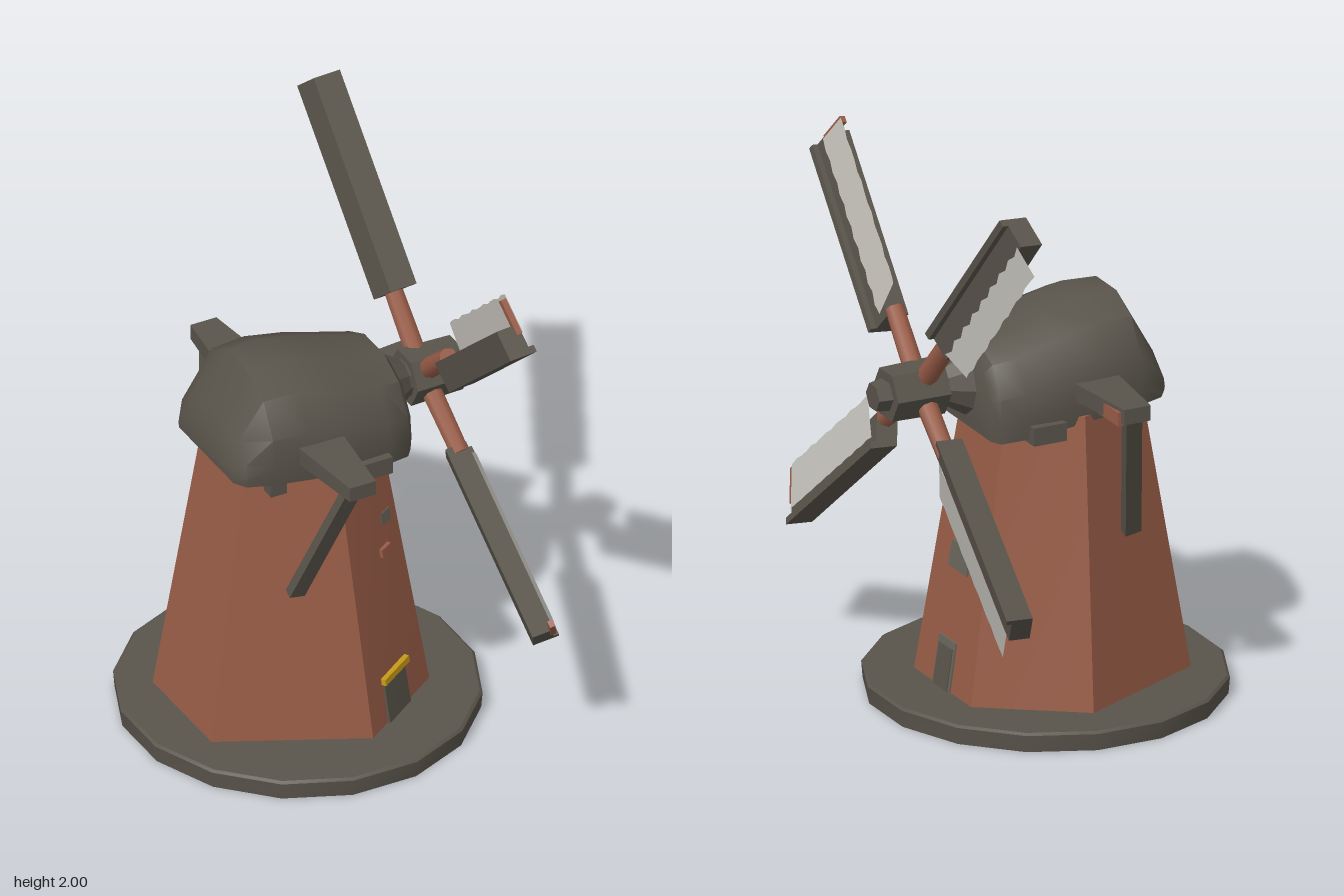
import * as THREE from 'three';
import { toCreasedNormals } from 'three/addons/utils/BufferGeometryUtils.js';

const mat = (name, color, extra = {}) => Object.assign(new THREE.MeshStandardMaterial({ color, ...extra }), { name });

// Skin a list of closed rings (each an array of [x, y, z]) and cap both ends
function loft(rings, crease = 0.5) {
  const n = rings[0].length, idx = [];
  for (let i = 0; i < rings.length - 1; i++) {
    for (let j = 0; j < n; j++) {
      const a = i * n + j, b = i * n + (j + 1) % n;
      idx.push(a, b, b + n, a, b + n, a + n);
    }
  }
  const last = (rings.length - 1) * n;
  for (let j = 1; j < n - 1; j++) idx.push(0, j + 1, j, last, last + j, last + j + 1);
  const g = new THREE.BufferGeometry();
  g.setAttribute('position', new THREE.Float32BufferAttribute(rings.flat(2), 3));
  g.setIndex(idx);
  return toCreasedNormals(g, crease);
}

export function createModel() {
  const brick = mat('brick red', 0x985c47);
  const wood = mat('dark timber', 0x59544b);
  const cloth = mat('sail cloth', 0xc6c3bc, { side: THREE.DoubleSide });
  const yellow = mat('yellow lintel', 0xc79a17);
  const pane = mat('grey opening', 0x67645a);

  const model = new THREE.Group();
  model.name = 'windmill';
  const add = (parent, name, geometry, material, x = 0, y = 0, z = 0) => {
    const m = new THREE.Mesh(geometry, material);
    m.name = name;
    m.position.set(x, y, z);
    parent.add(m);
    return m;
  };

  // Round stone footing
  add(model, 'footing', loft([[0, 0.62], [0.06, 0.625], [0.068, 0.615]].map(([y, r]) =>
    Array.from({ length: 16 }, (_, i) => {
      const a = (i + 0.5) / 16 * Math.PI * 2;
      return [-0.025 + Math.cos(a) * r, y, 0.012 - Math.sin(a) * r * 1.02];
    }))), wood);

  // Six-sided tapering tower; corners run anticlockwise from above
  const low = [[0.375, 0.21], [0.375, -0.21], [0.03, -0.45], [-0.465, -0.21], [-0.465, 0.21], [0.03, 0.45]];
  const high = [[0.215, 0.155], [0.215, -0.155], [-0.02, -0.29], [-0.305, -0.155], [-0.305, 0.155], [-0.02, 0.29]];
  const corner = (i, y) => {
    const k = (y - 0.06) / 1.02, a = low[i % 6], b = high[i % 6];
    return new THREE.Vector3(a[0] + (b[0] - a[0]) * k, y, a[1] + (b[1] - a[1]) * k);
  };
  add(model, 'tower', loft([0.06, 1.08].map(y => low.map((_, i) => corner(i, y).toArray())), 0.2), brick);

  // Box laid on a tower face: u runs 0..1 between its corners
  const onFace = (name, face, u0, u1, y0, y1, depth, material) => {
    const g = new THREE.BoxGeometry(u1 - u0, y1 - y0, depth).toNonIndexed();
    g.translate((u0 + u1) / 2, (y0 + y1) / 2, depth / 2 - 0.002);
    const p = g.attributes.position;
    for (let i = 0; i < p.count; i++) {
      const a = corner(face, p.getY(i)), b = corner(face + 1, p.getY(i));
      const out = new THREE.Vector3(a.z - b.z, 0, b.x - a.x).normalize();
      const q = a.lerp(b, p.getX(i)).addScaledVector(out, p.getZ(i));
      p.setXYZ(i, q.x, q.y, q.z);
    }
    g.computeVertexNormals();
    add(model, name, g, material);
  };
  onFace('sideDoor', 0, 0.34, 0.64, 0.065, 0.24, 0.008, pane);
  onFace('sideDoorPanel', 0, 0.37, 0.61, 0.065, 0.215, 0.012, wood);
  onFace('sideWindow', 0, 0.31, 0.67, 0.48, 0.57, 0.009, pane);
  onFace('frontDoor', 5, 0.26, 0.63, 0.065, 0.22, 0.012, wood);
  onFace('frontLintel', 5, 0.24, 0.68, 0.217, 0.24, 0.022, yellow);
  onFace('frontWindow', 5, 0.68, 0.86, 0.755, 0.8, 0.009, pane);
  onFace('brokenBrick', 5, 0.54, 0.72, 0.655, 0.685, 0.02, brick);

  // Cap: arched sections [x, half width, bottom, top] along the shaft
  const arch = [[-0.97, 0], [-1, 0.2], [-0.96, 0.5], [-0.7, 0.84], [-0.28, 1]];
  const capPoints = [...arch, ...arch.map(([z, y]) => [-z, y]).reverse()];
  add(model, 'cap', loft([
    [-0.37, 0.2, 1.08, 1.17], [-0.34, 0.24, 1.075, 1.25], [-0.25, 0.265, 1.07, 1.425], [-0.12, 0.28, 1.06, 1.43],
    [0.03, 0.285, 1.045, 1.395], [0.19, 0.275, 1.025, 1.345], [0.275, 0.25, 1.015, 1.33], [0.3, 0.22, 1.02, 1.29],
  ].map(([x, w, b, t]) => capPoints.map(([z, y]) => [x, b + y * (t - b), z * w])), 0.7), wood);

  // Small bearers under the eaves, cross beam and its braces
  for (const s of [1, -1]) {
    add(model, 'bearer', new THREE.BoxGeometry(0.125, 0.065, 0.1), wood, 0.12, 1.045, s * 0.255);
    add(model, 'smallBearer', new THREE.BoxGeometry(0.06, 0.07, 0.08), wood, -0.22, 1.045, s * 0.2);
    const from = new THREE.Vector3(-0.08, 1.17, s * 0.52), to = new THREE.Vector3(-0.19, 0.64, s * 0.3);
    const brace = add(model, 'brace', new THREE.BoxGeometry(0.06, from.distanceTo(to), 0.035), wood);
    brace.position.lerpVectors(from, to, 0.5);
    brace.quaternion.setFromUnitVectors(new THREE.Vector3(0, 1, 0), from.clone().sub(to).normalize());
  }
  add(model, 'crossBeam', loft([[-0.57, -0.125, -0.025, 1.145], [-0.26, -0.16, 0.012, 1.135],
    [0.26, -0.16, 0.012, 1.135], [0.57, -0.125, -0.025, 1.145]].map(([z, a, b, y]) =>
    [[b, y, z], [b, 1.2, z], [a, 1.2, z], [a, y, z]])), wood);
  add(model, 'beamLining', new THREE.BoxGeometry(0.1, 0.05, 0.15), brick, -0.06, 1.161, -0.475);

  // Shaft neck, hub and nose, turned to lie along x
  const along = (name, rFront, rBack, x0, x1, sides) => {
    const g = new THREE.CylinderGeometry(rFront, rBack, x1 - x0, sides).toNonIndexed();
    g.rotateZ(-Math.PI / 2);
    add(model, name, toCreasedNormals(g, 0.5), wood, (x0 + x1) / 2, 1.165, 0.01);
  };
  along('neckFlare', 0.07, 0.13, 0.28, 0.375, 10);
  along('neck', 0.066, 0.07, 0.36, 0.4, 10);
  along('hub', 0.095, 0.1, 0.385, 0.585, 6);
  along('nose', 0.05, 0.058, 0.58, 0.635, 6);

  // Rotor leans back a little; in its frame z is forward along the shaft
  const tilt = new THREE.Group(), rotor = new THREE.Group();
  tilt.name = 'rotorTilt';
  rotor.name = 'rotor';
  tilt.position.set(0.47, 1.17, 0.01);
  tilt.rotation.z = 0.08;
  rotor.rotation.y = Math.PI / 2;
  tilt.add(rotor);
  model.add(tilt);

  // Each blade: angle, forward lean, pitch, tip radius, board edges, cloth edges
  [[49, 0.03, 0.22, 1.055, -0.055, 0.055, -0.165, -0.045], [139.5, -0.03, 0.08, 1.01, 0, 0.11, -0.11, 0.045],
    [220, 0.005, 0.3, 1.0, -0.02, 0.105, -0.105, 0.065], [321, -0.02, 0.3, 1.01, -0.01, 0.125, -0.14, 0.025],
  ].forEach(([angle, lean, pitch, tip, t0, t1, c0, c1], k) => {
    const blade = new THREE.Group();
    blade.name = 'blade' + (k + 1);
    blade.rotation.set(0, -lean, angle * Math.PI / 180, 'ZYX');
    rotor.add(blade);

    const spar = new THREE.CylinderGeometry(0.034, 0.038, 0.3, 8);
    spar.rotateZ(-Math.PI / 2);
    add(blade, 'spar', spar, brick, 0.16, 0, -0.015);

    // Pitched board with a raised lip on its leading edge
    const section = [[t1 - 0.025, 0.02], [t0, 0.02], [t0, -0.06], [t1, -0.06], [t1, 0.04], [t1 - 0.025, 0.04]];
    add(blade, 'board', loft([0.285, tip].map(r => section.map(([t, z]) => [r, t, z + pitch * t])), 0.3), wood);

    // Bare end batten on the two blades facing the front
    if (k === 1 || k === 2) {
      const batten = add(blade, 'endBatten', new THREE.BoxGeometry(0.025, 0.13, 0.02), brick, tip - 0.008, -0.03, 0.008);
      batten.rotation.x = Math.atan(pitch);
    }

    // Torn cloth, set back towards its trailing edge
    const pts = [];
    const steps = 16, r0 = 0.33, r1 = tip - 0.01;
    for (let i = 0; i <= steps; i++) {
      const wobble = 0.004 * Math.sin(i * 2.3 + k);
      pts.push(new THREE.Vector2(r0 + (r1 - r0) * i / steps + (i ? 0 : 0.02), c0 + wobble));
    }
    for (let i = steps; i >= 0; i--) {
      const tear = 0.016 * Math.abs(Math.sin(i * 4.7 + k * 1.3));
      pts.push(new THREE.Vector2(r0 - 0.02 + (r1 - r0 + 0.02) * i / steps, c1 - tear));
    }
    const sail = new THREE.ShapeGeometry(new THREE.Shape(pts));
    const p = sail.attributes.position;
    for (let i = 0; i < p.count; i++) p.setZ(i, 0.028 + pitch * p.getY(i));
    sail.computeVertexNormals();
    add(blade, 'sail', sail, cloth);
  });

  return model;
}
